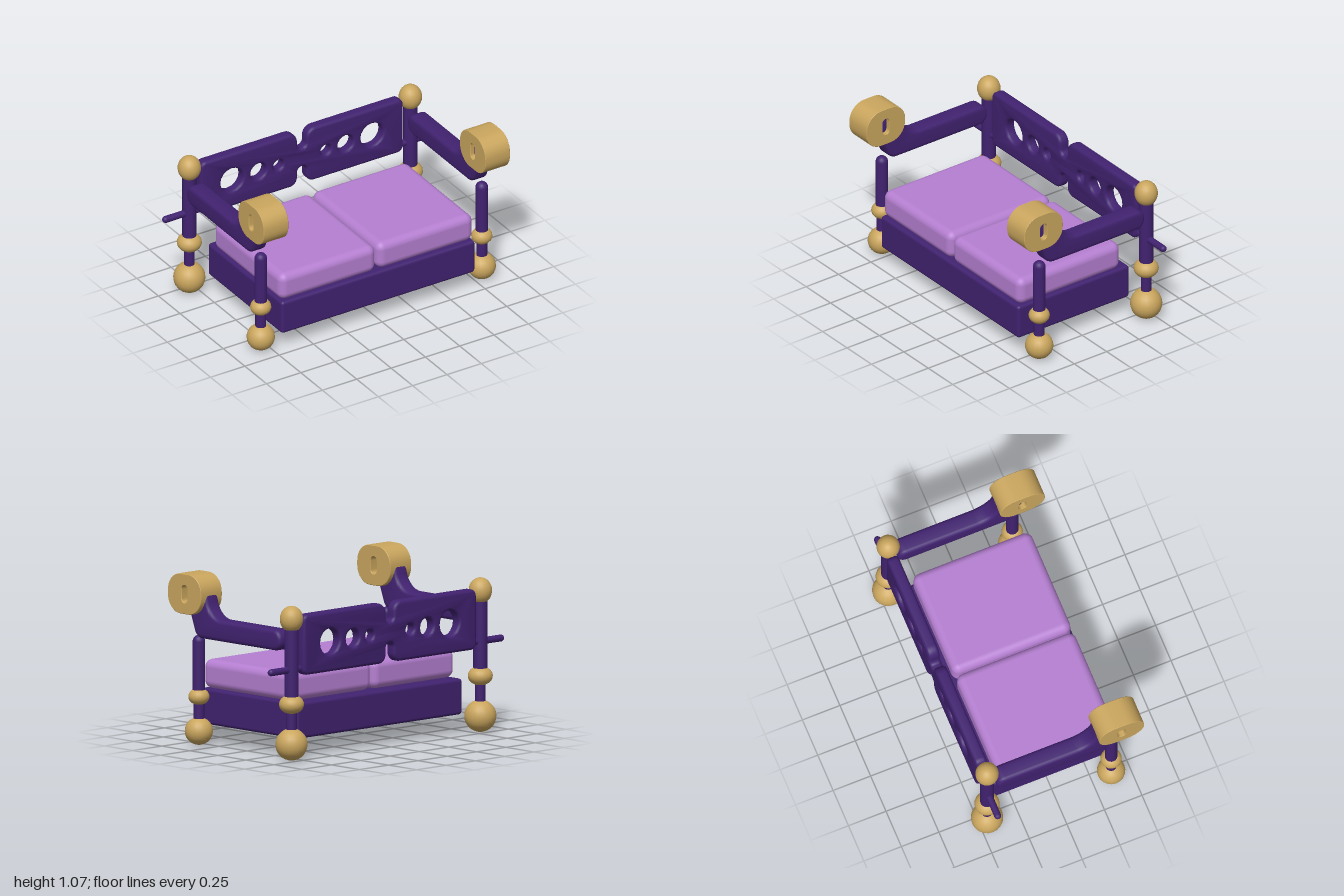
import * as THREE from 'three';
import { toCreasedNormals } from 'three/addons/utils/BufferGeometryUtils.js';
import { RoundedBoxGeometry } from 'three/addons/geometries/RoundedBoxGeometry.js';

// Traces a closed outline through [x, y, cornerRadius] points
function roundedPath(path, pts) {
  const n = pts.length;
  pts.forEach(([x, y, r], i) => {
    const toward = ([px, py], d) => {
      const l = Math.hypot(px - x, py - y);
      return [x + (px - x) * d / l, y + (py - y) * d / l];
    };
    const a = pts[(i + n - 1) % n], b = pts[(i + 1) % n];
    const start = toward(a, r), end = toward(b, r);
    if (i === 0) path.moveTo(...start);
    else path.lineTo(...start);
    path.bezierCurveTo(...toward(a, r * 0.45), ...toward(b, r * 0.45), ...end);
  });
  path.closePath();
  return path;
}

// Centred extrusion whose softened edges stay inside the outline
function slab(shape, thickness, bevel, segments) {
  const geo = new THREE.ExtrudeGeometry(shape, {
    depth: thickness - 2 * bevel, curveSegments: 8, bevelThickness: bevel,
    bevelSize: bevel, bevelOffset: -bevel, bevelSegments: segments,
  });
  geo.translate(0, 0, bevel - thickness / 2);
  return toCreasedNormals(geo, 0.6);
}

export function createModel() {
  const sofa = new THREE.Group();
  sofa.name = 'sofa';
  const purple = new THREE.MeshStandardMaterial({ color: 0x412270 });
  purple.name = 'dark purple frame';
  const gold = new THREE.MeshStandardMaterial({ color: 0xcaa65e });
  gold.name = 'gold';
  const lilac = new THREE.MeshStandardMaterial({ color: 0xb57fd1 });
  lilac.name = 'lilac cushion';

  function add(parent, name, geo, mat, x, y, z) {
    const mesh = new THREE.Mesh(geo, mat);
    mesh.name = name;
    mesh.position.set(x, y, z);
    parent.add(mesh);
    return mesh;
  }
  const ball = (parent, name, r, ry, y) =>
    add(parent, name, new THREE.SphereGeometry(r, 20, 14), gold, 0, y, 0).scale.set(1, ry / r, 1);
  const rod = (parent, name, r, y0, y1) =>
    add(parent, name, new THREE.CapsuleGeometry(r, y1 - y0 - 2 * r, 6, 20), purple, 0, (y0 + y1) / 2, 0);

  // Seat base
  add(sofa, 'seatBase', new RoundedBoxGeometry(1.41, 0.225, 0.86, 3, 0.02), purple, 0, 0.2275, 0.03);

  // Backrest: two panels joined by a narrow neck, pierced by graded holes
  const half = [
    [0.033, 0.78, 0.032], [0.033, 0.905, 0.065], [0.737, 0.905, 0.04],
    [0.737, 0.527, 0.04], [0.033, 0.527, 0.055], [0.033, 0.65, 0.032],
  ];
  const mirrored = half.map(([x, y, r]) => [-x, y, r]).reverse();
  const backShape = roundedPath(new THREE.Shape(), [...half, ...mirrored]);
  for (const side of [-1, 1]) {
    for (const [x, r] of [[0.51, 0.081], [0.317, 0.055], [0.172, 0.034]]) {
      backShape.holes.push(new THREE.Path().absarc(side * x, 0.715, r, 0, Math.PI * 2));
    }
  }
  add(sofa, 'backrest', slab(backShape, 0.075, 0.02, 4), purple, 0, 0, -0.457);

  // Side profiles, drawn as (z, y)
  const armShape = roundedPath(new THREE.Shape(), [
    [-0.405, 0.81, 0.06], [-0.405, 0.68, 0.06], [0.345, 0.68, 0.045], [0.435, 0.92, 0.05],
    [0.395, 1.02, 0.035], [0.272, 1.0, 0.04], [0.223, 0.81, 0.1],
  ]);
  const armGeo = slab(armShape, 0.115, 0.025, 4).rotateY(-Math.PI / 2);
  const rect = (path, w, h, r) => roundedPath(path, [[-w, -h, r], [w, -h, r], [w, h, r], [-w, h, r]]);
  const blockShape = rect(new THREE.Shape(), 0.149, 0.125, 0.112);
  blockShape.holes.push(rect(new THREE.Path(), 0.0255, 0.055, 0.025));
  const blockGeo = slab(blockShape, 0.18, 0.003, 1).rotateY(-Math.PI / 2);

  for (const side of [-1, 1]) {
    const label = side > 0 ? 'left' : 'right';
    const x = side * 0.805;

    // Seat cushion
    add(sofa, label + 'Cushion', new RoundedBoxGeometry(0.7, 0.182, 0.79, 4, 0.05), lilac,
      side * 0.355, 0.43, 0.055);

    // Armrest with slotted end block
    add(sofa, label + 'Armrest', armGeo, purple, x, 0, 0);
    add(sofa, label + 'ArmrestBlock', blockGeo, gold, side * 0.807, 0.95, 0.408);

    // Back post
    const back = new THREE.Group();
    back.name = label + 'BackPost';
    back.position.set(x, 0, -0.452);
    sofa.add(back);
    ball(back, 'foot', 0.1, 0.1, 0.102);
    rod(back, 'lowerPost', 0.033, 0.12, 0.4);
    ball(back, 'middleBall', 0.078, 0.06, 0.352);
    rod(back, 'upperPost', 0.044, 0.36, 0.86);
    ball(back, 'finial', 0.073, 0.082, 0.884);

    // Front post
    const front = new THREE.Group();
    front.name = label + 'FrontPost';
    front.position.set(x, 0, 0.374);
    sofa.add(front);
    ball(front, 'foot', 0.088, 0.086, 0.09);
    rod(front, 'lowerPost', 0.034, 0.1, 0.34);
    ball(front, 'middleBall', 0.066, 0.053, 0.305);
    rod(front, 'upperPost', 0.039, 0.29, 0.69);

    // Peg through the back post into the backrest
    const peg = add(sofa, label + 'Peg', new THREE.CapsuleGeometry(0.022, 0.256, 5, 14), purple,
      side * 0.85, 0.568, -0.452);
    peg.rotation.z = Math.PI / 2;
  }
  return sofa;
}
